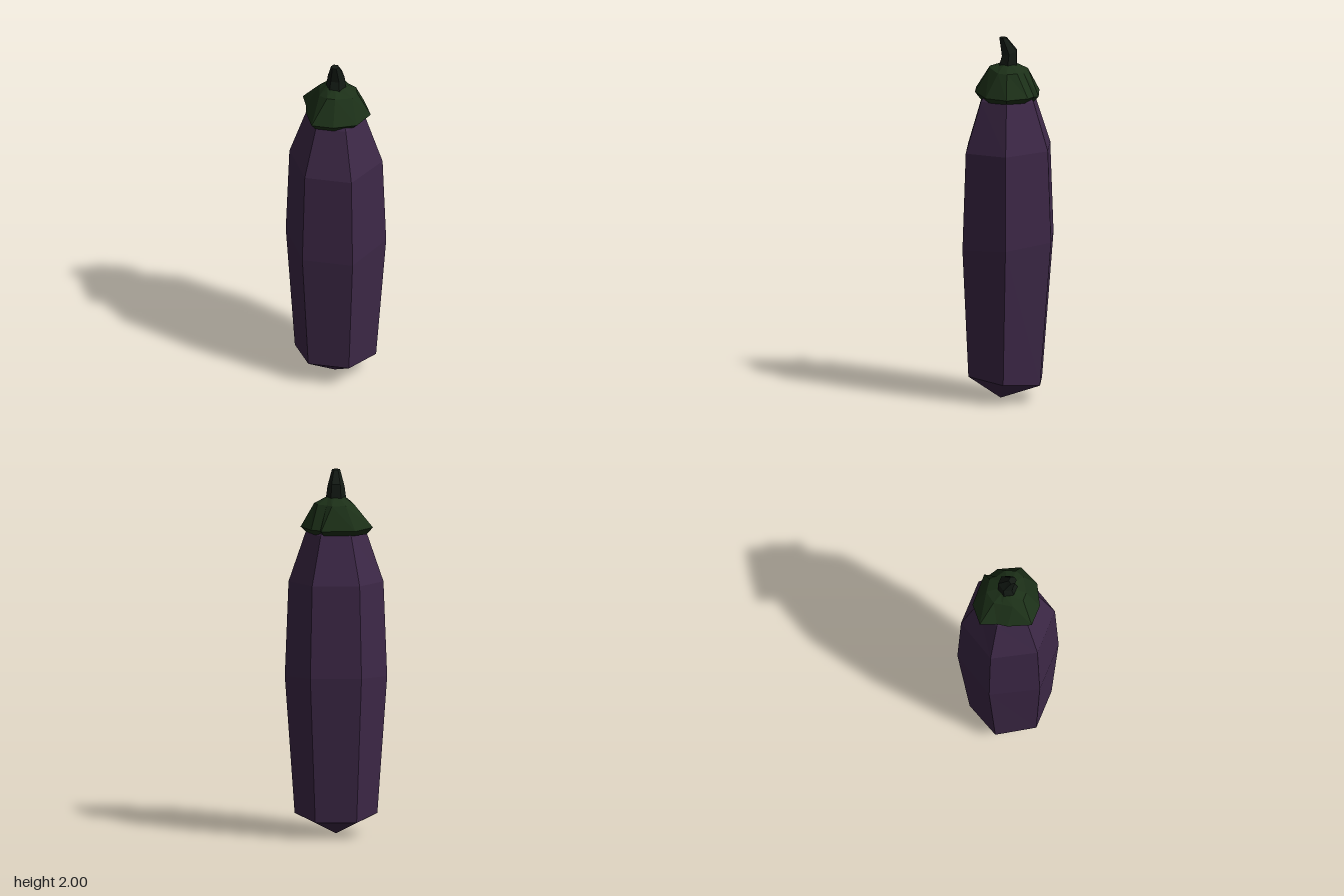
import * as THREE from 'three';

// Skin a list of rings (bottom to top, points in order from +x towards +z), optionally closing the ends.
function loft(name, color, rings, bottom, top) {
  const pos = [];
  const tri = (a, b, c) => pos.push(...a, ...b, ...c);
  const n = rings[0].length;
  for (let j = 0; j < n; j++) {
    const k = (j + 1) % n;
    for (let i = 0; i < rings.length - 1; i++) {
      const [lo, hi] = [rings[i], rings[i + 1]];
      tri(lo[j], hi[j], hi[k]);
      tri(lo[j], hi[k], lo[k]);
    }
    if (bottom) tri(bottom, rings[0][j], rings[0][k]);
    if (top) tri(top, rings.at(-1)[k], rings.at(-1)[j]);
  }
  const geo = new THREE.BufferGeometry();
  geo.setAttribute('position', new THREE.Float32BufferAttribute(pos, 3));
  geo.computeVertexNormals();
  const mesh = new THREE.Mesh(geo, new THREE.MeshStandardMaterial({
    color, flatShading: true, side: THREE.DoubleSide,
  }));
  mesh.name = name;
  return mesh;
}

// Six-sided ring, shifted along z and tilted front to back.
const hexRing = ([y, r, z = 0, tilt = 0]) => Array.from({ length: 6 }, (_, j) => {
  const a = j * Math.PI / 3;
  const dz = r * Math.sin(a);
  return [r * Math.cos(a), y + tilt * dz, z + dz];
});

export function createModel() {
  const group = new THREE.Group();
  group.name = 'eggplant';

  // Fruit: slightly bent hexagonal body with a pointed bottom
  const body = [
    [0.117, 0.224, 0.015, 0.118],
    [0.87, 0.277, 0, -0.1],
    [1.39, 0.257, 0, -0.04],
    [1.66, 0.165],
    [1.78, 0.07],
  ].map(hexRing);
  group.add(loft('fruitBody', 0x3d2847, body, [0, 0, 0.04], [0, 1.78, 0]));

  // Leafy cap: each row is rim x, z, y and shoulder x, z, y of one column
  const columns = [
    [0.192, 0, 1.69, 0.118, 0, 1.82],
    [0.138, 0.115, 1.69, 0.1, 0.05, 1.82],
    [0.02, 0.178, 1.7, 0.015, 0.1, 1.835],
    [-0.1, 0.178, 1.7, -0.03, 0.1, 1.835],
    [-0.155, 0.06, 1.7, -0.08, 0.06, 1.82],
    [-0.165, 0, 1.7, -0.09, 0, 1.82],
    [-0.2, -0.085, 1.7, -0.098, -0.045, 1.82],
    [-0.105, -0.165, 1.69, -0.053, -0.105, 1.82],
    [0.08, -0.17, 1.69, 0.022, -0.115, 1.82],
    [0.085, -0.145, 1.69, 0.05, -0.085, 1.82],
    [0.135, -0.115, 1.69, 0.1, -0.055, 1.82],
  ];
  const cap = [
    columns.map(([x, z]) => [x * 0.5, 1.68, z * 0.5]),
    columns.map(([x, z]) => [x * 0.83, 1.66, z * 0.83]),
    columns.map(([x, z, y]) => [x, y, z]),
    columns.map(([, , , x, z, y]) => [x, y, z]),
    columns.map(([, , , x, z]) => {
      const s = 0.05 / Math.hypot(x, z);
      return [x * s, 1.855, z * s];
    }),
  ];
  group.add(loft('leafCap', 0x1c3018, cap, null, [0, 1.855, 0]));

  // Stem: tapered and hooked towards the front
  const stem = [
    [1.84, 0.056],
    [1.915, 0.046, -0.008, -0.35],
    [2.0, 0.022, 0.027],
  ].map(hexRing);
  group.add(loft('stem', 0x131a14, stem, null, [0, 2, 0.027]));

  return group;
}
